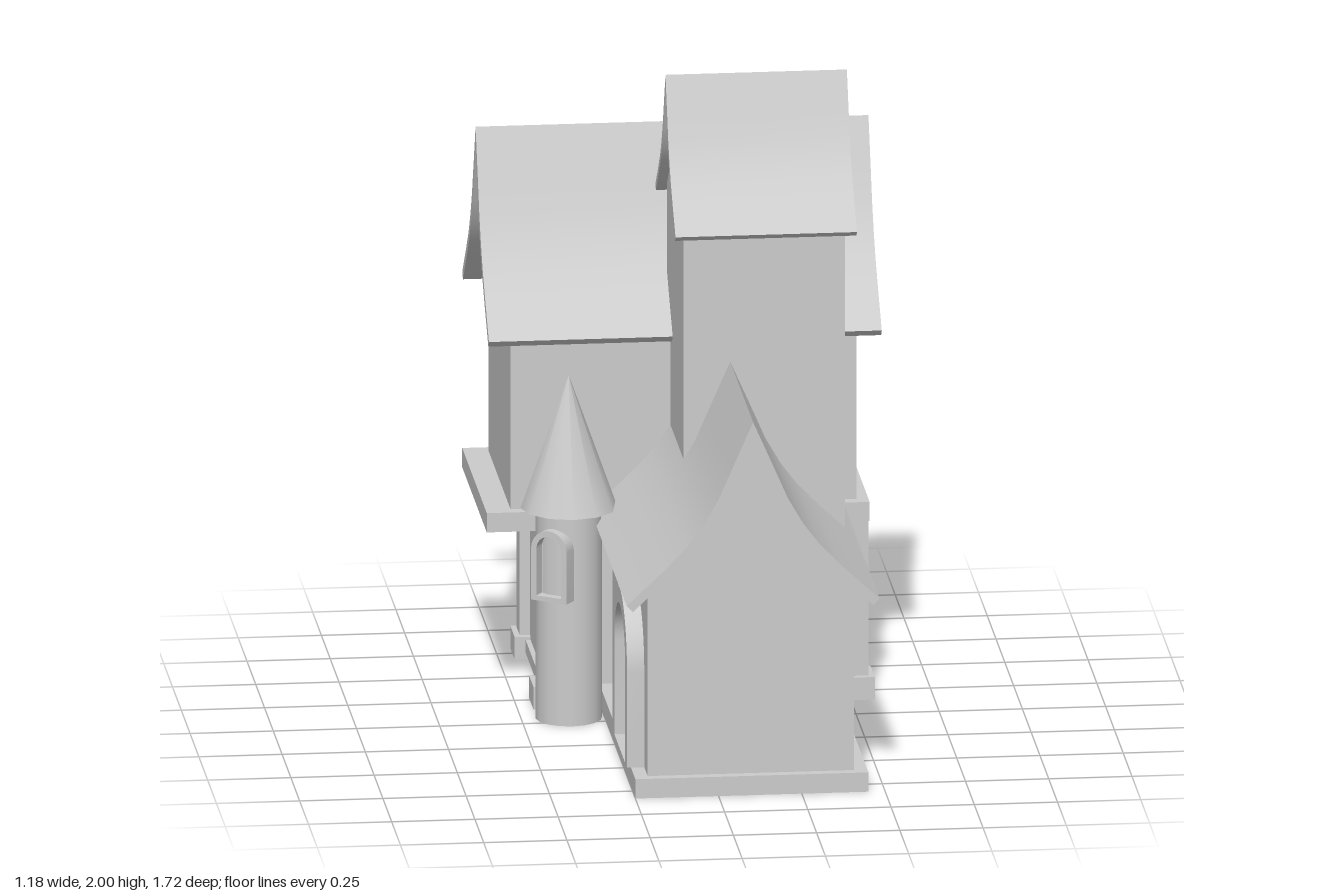
import * as THREE from 'three';
import { toCreasedNormals } from 'three/addons/utils/BufferGeometryUtils.js';

const material = new THREE.MeshStandardMaterial({ color: 0xcccccc });

// Right half of the sweeping roof line, measured from the ridge
const ROOF = [[0, 0], [0.055, -0.125], [0.105, -0.24], [0.15, -0.318], [0.2, -0.385], [0.27, -0.457], [0.38, -0.56]]
  .map(([x, y]) => new THREE.Vector2(x, y));
const HALF_WALL = 0.31;

// Roof line moved inward by t, square to the slope
function roofInset(t) {
  return ROOF.map((p, i) => {
    const a = ROOF[Math.max(i - 1, 0)], b = ROOF[Math.min(i + 1, ROOF.length - 1)];
    const d = b.clone().sub(a).normalize();
    if (i === 0) return new THREE.Vector2(0, -t / d.x);
    return new THREE.Vector2(p.x + d.y * t, p.y - d.x * t);
  });
}

const mirrored = (pts) => pts.slice(1).reverse().map((p) => new THREE.Vector2(-p.x, p.y)).concat(pts);

function mesh(name, geometry, x = 0, y = 0, z = 0) {
  const m = new THREE.Mesh(geometry, material);
  m.name = name;
  m.position.set(x, y, z);
  return m;
}

// Box given by its lower and upper limits
function box(name, x0, x1, y0, y1, z0, z1) {
  return mesh(name, new THREE.BoxGeometry(x1 - x0, y1 - y0, z1 - z0), (x0 + x1) / 2, (y0 + y1) / 2, (z0 + z1) / 2);
}

// Extrusion along z from z0 to z1, smooth along gentle curves
function extrude(shape, z0, z1) {
  const g = new THREE.ExtrudeGeometry(shape, { depth: z1 - z0, bevelEnabled: false, curveSegments: 10 });
  g.translate(0, 0, z0);
  return toCreasedNormals(g, 0.5);
}

// Gabled block with its ridge along local z and its origin on the ridge
function gabledBlock(name, scale, wallBottom, wallZ, roofZ) {
  const group = new THREE.Group();
  group.name = name;
  const scaled = (pts) => pts.map((p) => p.clone().multiplyScalar(scale));

  const roof = mirrored(scaled(ROOF)).concat(mirrored(scaled(roofInset(0.027))).reverse());
  group.add(mesh('roof', extrude(new THREE.Shape(roof), ...roofZ)));

  // The gable follows the underside of the roof and stops at the wall face
  const under = roofInset(0.026);
  const gable = under.filter((p) => p.x < HALF_WALL);
  const a = gable[gable.length - 1], b = under[gable.length];
  gable.push(a.clone().lerp(b, (HALF_WALL - a.x) / (b.x - a.x)));
  const w = HALF_WALL * scale;
  const wall = [new THREE.Vector2(-w, wallBottom), ...mirrored(scaled(gable)), new THREE.Vector2(w, wallBottom)];
  group.add(mesh('walls', extrude(new THREE.Shape(wall), ...wallZ)));
  return group;
}

// Round-topped outline standing on y = 0
function archPath(path, radius, spring, bottom = 0) {
  path.moveTo(-radius, bottom);
  path.lineTo(radius, bottom);
  path.lineTo(radius, spring);
  path.absarc(0, spring, radius, 0, Math.PI, false);
  path.lineTo(-radius, bottom);
  return path;
}

// Arched frame with a recessed panel, facing local +z
function archedOpening(name, outer, inner, spring, sill, depth) {
  const group = new THREE.Group();
  group.name = name;
  const frame = archPath(new THREE.Shape(), outer, spring);
  frame.holes.push(archPath(new THREE.Path(), inner, spring, sill));
  group.add(mesh('frame', extrude(frame, 0, depth)));
  group.add(mesh('panel', extrude(archPath(new THREE.Shape(), inner + 0.002, spring, sill), 0, depth * 0.3)));
  return group;
}

export function createModel() {
  const model = new THREE.Group();
  model.name = 'house';

  // Front wing with its plinth
  const wing = gabledBlock('frontWing', 1, -1.11, [-0.2, 0.8], [-0.165, 0.865]);
  wing.position.set(0.1, 1.17, 0);
  model.add(wing);
  model.add(box('plinth', -0.25, 0.45, 0, 0.06, -0.28, 0.83));

  // Upper storey of the rear house, ridge across the front
  const rear = gabledBlock('rearHouse', 1, -1.12, [-0.52, 0.52], [-0.592, 0.588]);
  rear.position.set(0, 1.722, -0.477);
  rear.rotation.y = Math.PI / 2;
  model.add(rear);

  // Tall middle tower
  const tower = gabledBlock('middleTower', 0.755, -1.365, [-0.04, 0.445], [-0.07, 0.475]);
  tower.position.set(0, 2, -0.02);
  tower.rotation.y = Math.PI / 2;
  model.add(tower);

  // Lower storey: floor band, recessed walls, sill and corner posts on feet
  model.add(box('floorBand', -0.595, 0.555, 0.56, 0.62, -0.83, -0.13));
  model.add(box('lowerWalls', -0.405, 0.525, 0.02, 0.57, -0.755, -0.195));
  model.add(box('sill', -0.42, 0.54, 0.02, 0.06, -0.77, -0.18));
  for (const x of [-0.393, 0.512]) {
    for (const z of [-0.743, -0.208]) {
      model.add(box('cornerPost', x - 0.043, x + 0.043, 0.06, 0.565, z - 0.043, z + 0.043));
      model.add(box('postFoot', x - 0.06, x + 0.06, 0, 0.07, z - 0.062, z + 0.062));
    }
  }

  // Round turret with a cone roof
  const turret = new THREE.Group();
  turret.name = 'turret';
  turret.position.set(-0.357, 0, -0.055);
  turret.add(mesh('turretWall', new THREE.CylinderGeometry(0.1, 0.1, 0.655, 16), 0, 0.3275, 0));
  turret.add(mesh('turretRoof', new THREE.ConeGeometry(0.145, 0.41, 12), 0, 0.86, 0));

  // Turret window, turned to the front right
  const angle = -0.6;
  const window = archedOpening('turretWindow', 0.06, 0.042, 0.16, 0.015, 0.05);
  window.position.set(Math.sin(angle) * 0.075, 0.39, Math.cos(angle) * 0.075);
  window.rotation.y = angle;
  turret.add(window);
  model.add(turret);

  // Arched door in the side of the front wing
  const door = archedOpening('sideDoor', 0.205, 0.155, 0.295, 0, 0.055);
  door.position.set(-0.207, 0.06, 0.5);
  door.rotation.y = -Math.PI / 2;
  model.add(door);

  return model;
}
